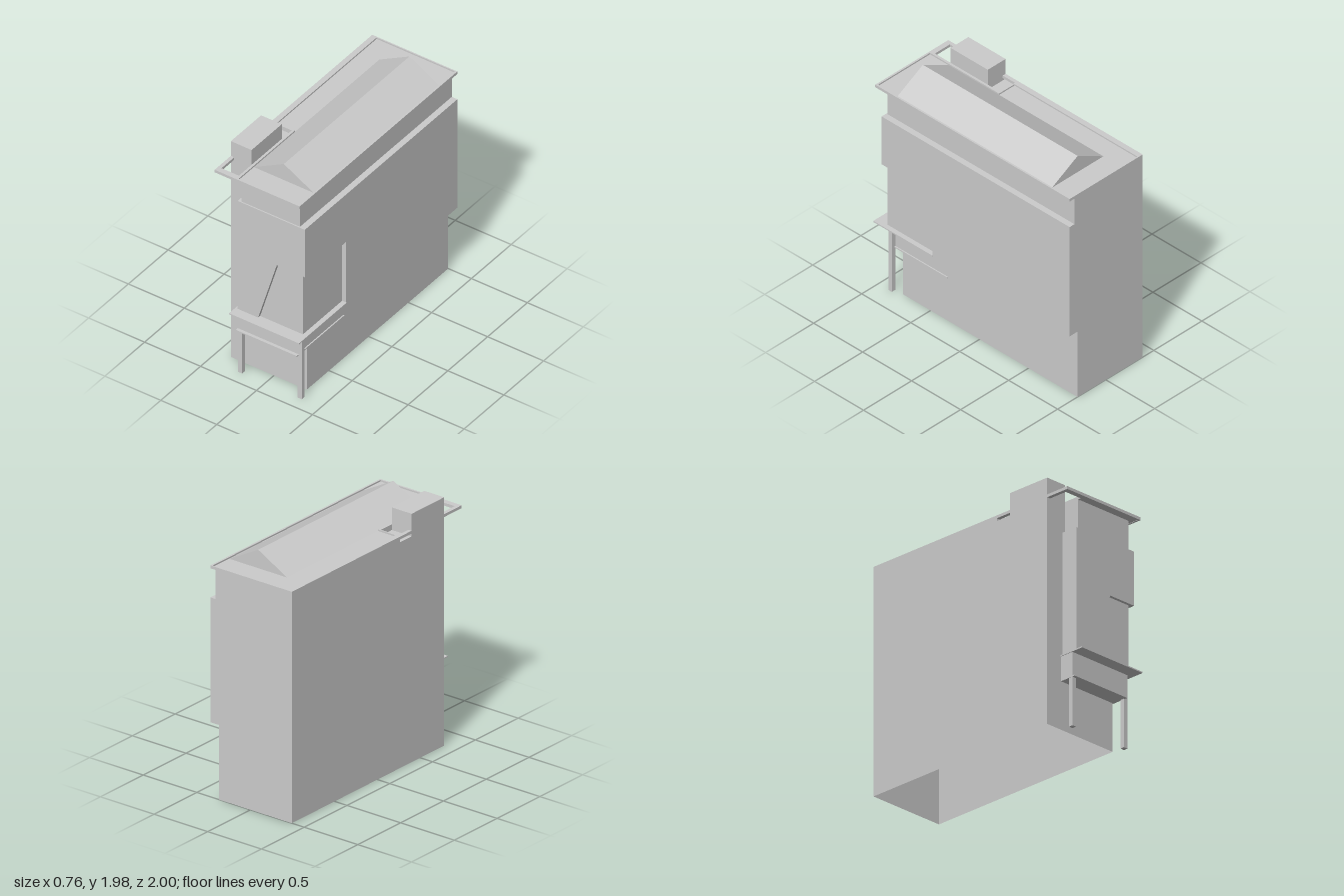
import * as THREE from 'three';

const material = new THREE.MeshStandardMaterial({ color: 0xcccccc, flatShading: true, side: THREE.DoubleSide });

// Box given by its lower and upper limits on each axis
function box(parent, name, [x0, x1], [y0, y1], [z0, z1], openBottom = false) {
  const geometry = new THREE.BoxGeometry(x1 - x0, y1 - y0, z1 - z0);
  if (openBottom) {
    const index = Array.from(geometry.index.array);
    index.splice(18, 6);
    geometry.setIndex(index);
    geometry.clearGroups();
  }
  const mesh = new THREE.Mesh(geometry, material);
  mesh.position.set((x0 + x1) / 2, (y0 + y1) / 2, (z0 + z1) / 2);
  mesh.name = name;
  parent.add(mesh);
  return mesh;
}

const outline = (points) => points.map(([x, y]) => new THREE.Vector2(x, y));

// Upright slab: outline in x and y, extruded from z0 to z1
function upright(parent, name, points, z0, z1) {
  const geometry = new THREE.ExtrudeGeometry(new THREE.Shape(outline(points)), { depth: z1 - z0, bevelEnabled: false });
  const mesh = new THREE.Mesh(geometry, material);
  mesh.position.z = z0;
  mesh.name = name;
  parent.add(mesh);
}

// Level slab: plan outline in x and z, with holes, extruded from y0 to y1
function level(parent, name, points, holes, y0, y1) {
  const plan = (list) => outline(list.map(([x, z]) => [x, -z]));
  const shape = new THREE.Shape(plan(points));
  for (const hole of holes) shape.holes.push(new THREE.Path(plan(hole)));
  const geometry = new THREE.ExtrudeGeometry(shape, { depth: y1 - y0, bevelEnabled: false });
  geometry.rotateX(-Math.PI / 2);
  const mesh = new THREE.Mesh(geometry, material);
  mesh.position.y = y0;
  mesh.name = name;
  parent.add(mesh);
}

const rectangle = (x0, x1, z0, z1) => [[x0, z0], [x1, z0], [x1, z1], [x0, z1]];

export function createModel() {
  const model = new THREE.Group();
  model.name = 'townhouse';

  // Ground floor, open underneath, with the porch in front
  const ground = new THREE.Group();
  ground.name = 'groundFloor';
  model.add(ground);
  box(ground, 'groundWalls', [-0.385, 0.293], [0, 0.595], [-1, 0.78], true);
  box(ground, 'porchFascia', [-0.24, 0.293], [0.4, 0.59], [0.78, 0.895]);
  box(ground, 'canopy', [-0.242, 0.303], [0.39, 0.4], [0.32, 0.92]);
  for (const x of [-0.24, 0.293]) box(ground, 'porchPost', [x, x + 0.037], [0, 0.59], [0.86, 0.895]);
  box(ground, 'porchDeck', [-0.245, 0.38], [0.59, 0.6], [0.4, 1]);

  // Middle floors: a core with outer walls that leave a corner window recess
  const middle = new THREE.Group();
  middle.name = 'middleFloors';
  model.add(middle);
  box(middle, 'middleCore', [-0.225, 0.34], [0.595, 1.59], [-1, 0.895]);
  box(middle, 'sideWallUpper', [0.34, 0.375], [1.155, 1.59], [-1, 0.895]);
  box(middle, 'sideWallLower', [0.34, 0.375], [0.595, 1.155], [-1, 0.4]);
  upright(middle, 'frontWall',
    [[-0.225, 0.6], [-0.042, 0.6], [0.125, 1.155], [0.375, 1.155], [0.375, 1.59], [-0.225, 1.59]],
    0.895, 0.92);

  // Narrow wing along the party wall
  box(model, 'sideWing', [-0.385, -0.225], [0.595, 1.8], [-1, 0.78]);
  box(model, 'sideWingTop', [-0.225, -0.2], [1.59, 1.8], [-1, 0.78]);
  box(model, 'sideWingParapet', [-0.385, -0.2], [1.8, 1.825], [-1, 0.265]);

  // Set-back top floor
  box(model, 'topFloor', [-0.2, 0.325], [1.59, 1.825], [-1, 0.91]);

  // Roof: rim with a sunken deck and an opening around the chimney
  const roof = new THREE.Group();
  roof.name = 'roof';
  model.add(roof);
  const deck = [[-0.34, -0.99], [0.36, -0.99], [0.36, 0.97], [-0.18, 0.97], [-0.18, 0.265], [-0.34, 0.265]];
  const opening = rectangle(-0.355, -0.2, 0.275, 0.94);
  level(roof, 'roofRim', rectangle(-0.385, 0.375, -1, 0.985), [deck, opening], 1.822, 1.845);
  level(roof, 'roofDeck', deck, [], 1.825, 1.833);
  upright(roof, 'gableRoof', [[-0.18, 1.833], [0.355, 1.833], [0.088, 1.98]], -0.8, 0.78);
  box(roof, 'chimney', [-0.385, -0.2], [1.8, 1.98], [0.4, 0.78]);

  return model;
}
